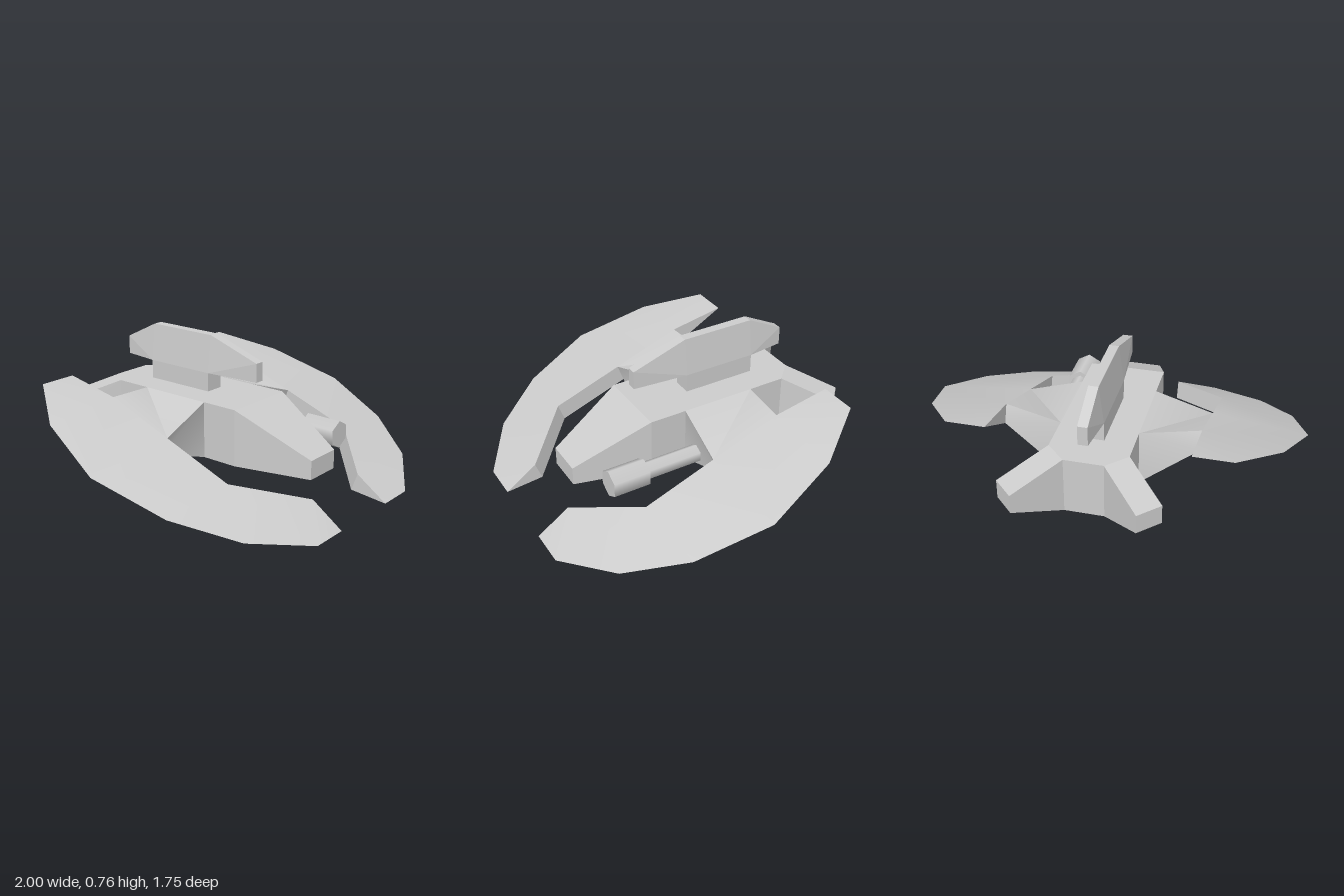
import * as THREE from 'three';
import { toCreasedNormals } from 'three/addons/utils/BufferGeometryUtils.js';
import { ConvexGeometry } from 'three/addons/geometries/ConvexGeometry.js';

const material = new THREE.MeshStandardMaterial({ color: 0xcccccc });

function part(name, geometry) {
  const mesh = new THREE.Mesh(geometry, material);
  mesh.name = name;
  return mesh;
}

// Convex solid; each [x, y, z] corner also appears at -x when mirrored
function hull(name, corners, mirrored = true) {
  const points = corners.flatMap(([x, y, z]) => mirrored
    ? [new THREE.Vector3(x, y, z), new THREE.Vector3(-x, y, z)]
    : [new THREE.Vector3(x, y, z)]);
  return part(name, new ConvexGeometry(points));
}

// Sickle wing lying in a plane tilted 20 degrees: knife-edged rim, thick inner edge
function wing(side) {
  const tilt = THREE.MathUtils.degToRad(20), half = 0.05;
  const at = (x, z, t) => [x, 0.318 - z * Math.tan(tilt) + t * Math.cos(tilt), z + t * Math.sin(tilt)];
  const rim = [[0.5, -0.63], [0.7, -0.63], [0.9, -0.35], [1, 0.03], [0.9, 0.4], [0.7, 0.68], [0.4, 0.87], [0.2, 0.87]]
    .map(([x, z]) => at(x, z, 0));
  const inner = [[0.5, -0.345], [0.5, 0.025], [0.5, 0.405], [0.2, 0.685]];
  const top = inner.map(([x, z]) => at(x, z, half));
  const low = inner.map(([x, z]) => at(x, z, -half));
  const root = y => [[0.2, y, -0.38], [0.2, y, 0.02]];
  const rootTop = root(0.46), rootLow = root(0.16);

  const out = [];
  const tri = (a, b, c) => out.push(...(side > 0 ? [a, b, c] : [a, c, b]));
  const quad = (a, b, c, d) => { tri(a, b, c); tri(a, c, d); };

  // Upper and lower skins share one layout
  const skin = (n, r, put) => {
    [[0, 0, 1], [0, 1, 2], [0, 2, 3], [2, 3, 4], [2, 4, 5], [2, 5, 6], [3, 6, 7]]
      .forEach(([i, a, b]) => put(n[i], rim[b], rim[a]));
    put(n[0], n[1], rim[3]);
    put(n[1], n[2], rim[3]);
    put(n[2], n[3], rim[6]);
    put(r[0], r[1], n[1]);
    put(r[0], n[1], n[0]);
  };
  skin(top, rootTop, tri);
  skin(low, rootLow, (a, b, c) => tri(a, c, b));

  // Inner edge walls, tip ends, and front and back of the root
  quad(top[1], low[1], low[2], top[2]);
  quad(top[2], low[2], low[3], top[3]);
  tri(top[3], low[3], rim[7]);
  tri(top[0], rim[0], low[0]);
  quad(rootTop[1], rootLow[1], low[1], top[1]);
  quad(rootTop[0], top[0], low[0], rootLow[0]);

  const g = new THREE.BufferGeometry();
  g.setAttribute('position', new THREE.Float32BufferAttribute(out.flatMap(([x, y, z]) => [x * side, y, z]), 3));
  g.computeVertexNormals();
  return part(side > 0 ? 'leftWing' : 'rightWing', toCreasedNormals(g, 0.5));
}

// Tail engine: block tapering in height along a 45 degree diagonal
function engine(side) {
  const corners = [
    [0.1, 0.16, -0.68], [0.1, 0.46, -0.68], [0.2, 0.16, -0.58], [0.2, 0.46, -0.58],
    [0.3, 0.26, -0.88], [0.3, 0.36, -0.88], [0.4, 0.26, -0.78], [0.4, 0.36, -0.78],
  ].map(([x, y, z]) => [x * side, y, z]);
  return hull(side > 0 ? 'leftEngine' : 'rightEngine', corners, false);
}

// Hexagonal rod along z
function rod(name, radius, back, front) {
  const g = new THREE.CylinderGeometry(radius, radius, front - back, 6);
  g.rotateX(Math.PI / 2).translate(0.3, 0.26, (front + back) / 2);
  return part(name, g);
}

export function createModel() {
  const model = new THREE.Group();
  model.name = 'spacecraft';

  // Fuselage with wedge nose
  model.add(hull('fuselage', [
    [0.1, 0.16, 0.62], [0.1, 0.26, 0.62], [0.2, 0.16, 0.22], [0.2, 0.46, 0.22],
    [0.2, 0.16, -0.58], [0.2, 0.46, -0.58], [0.1, 0.16, -0.68], [0.1, 0.46, -0.68],
  ]));

  // Dorsal fin on a short stem
  model.add(hull('fin', [
    [0.025, 0.56, 0.22], [0.025, 0.66, 0.22], [0.05, 0.56, -0.08], [0.025, 0.76, -0.08],
    [0.05, 0.56, -0.48], [0.025, 0.76, -0.48], [0.025, 0.56, -0.68], [0.025, 0.66, -0.68],
  ]));
  const stem = part('finStem', new THREE.BoxGeometry(0.1, 0.1, 0.4));
  stem.position.set(0, 0.51, -0.28);
  model.add(stem);

  for (const side of [1, -1]) model.add(wing(side), engine(side));

  // Single cannon under the left wing root
  const cannon = new THREE.Group();
  cannon.name = 'cannon';
  cannon.add(rod('barrel', 0.048, 0, 0.32), rod('muzzle', 0.074, 0.32, 0.52));
  model.add(cannon);

  return model;
}
